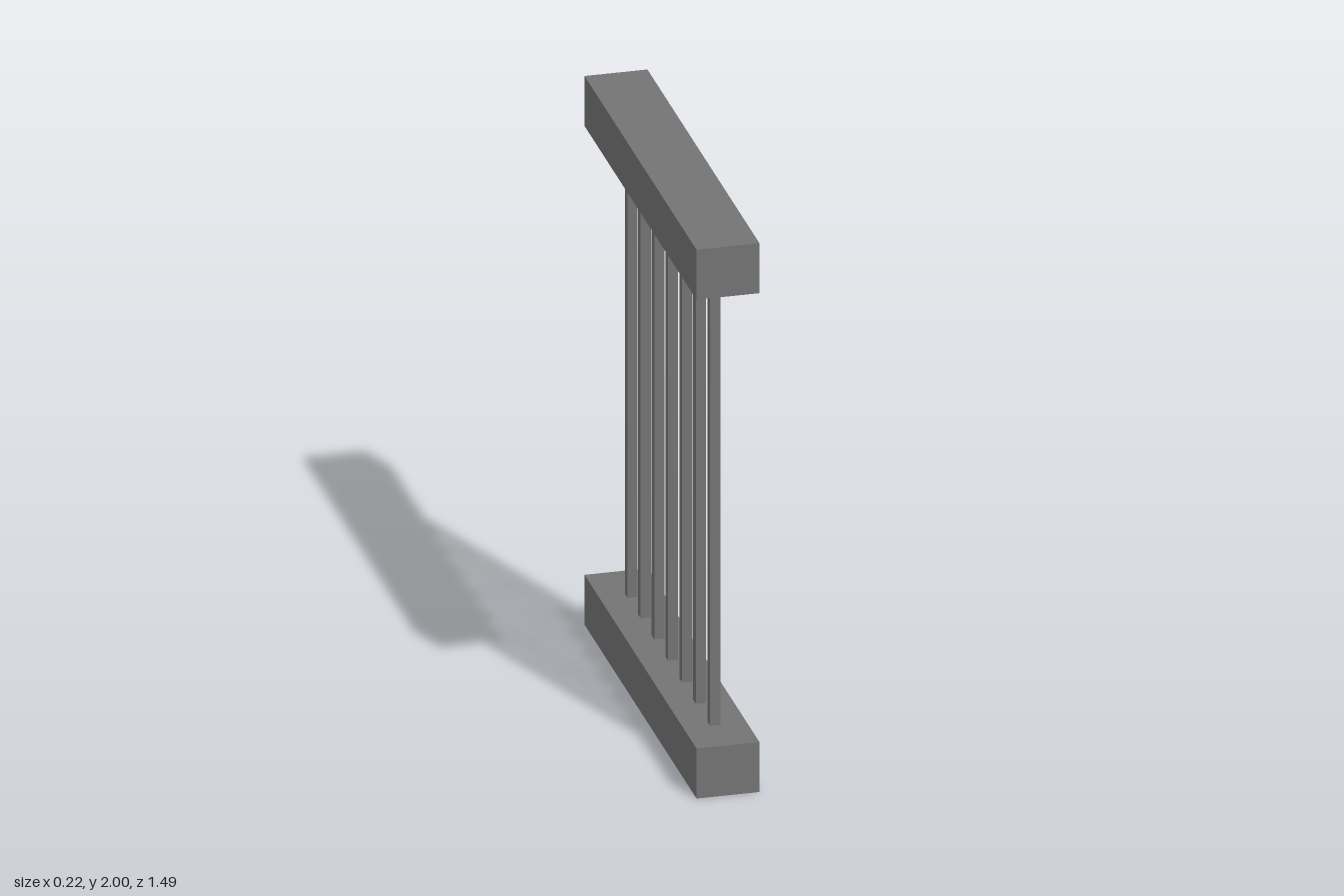
import * as THREE from 'three';

export function createModel() {
  const model = new THREE.Group();
  model.name = 'barredPanel';
  const grey = new THREE.MeshStandardMaterial({ color: 0x737373 });
  grey.name = 'grey';

  function addBox(name, width, height, depth, y, z) {
    const mesh = new THREE.Mesh(new THREE.BoxGeometry(width, height, depth), grey);
    mesh.name = name;
    mesh.position.set(0, y, z);
    model.add(mesh);
  }

  // Matching rails at the bottom and top
  const railHeight = 0.182;
  addBox('bottomRail', 0.217, railHeight, 1.49, railHeight / 2, 0);
  addBox('topRail', 0.217, railHeight, 1.49, 2 - railHeight / 2, 0);

  // Slim square bars between the rails, slightly uneven in spacing
  const barPositions = [0.557, 0.367, 0.186, -0.002, -0.185, -0.366, -0.541];
  barPositions.forEach((z, i) => {
    addBox(`bar${i + 1}`, 0.035, 2 - 2 * railHeight, 0.035, 1, z);
  });

  return model;
}
